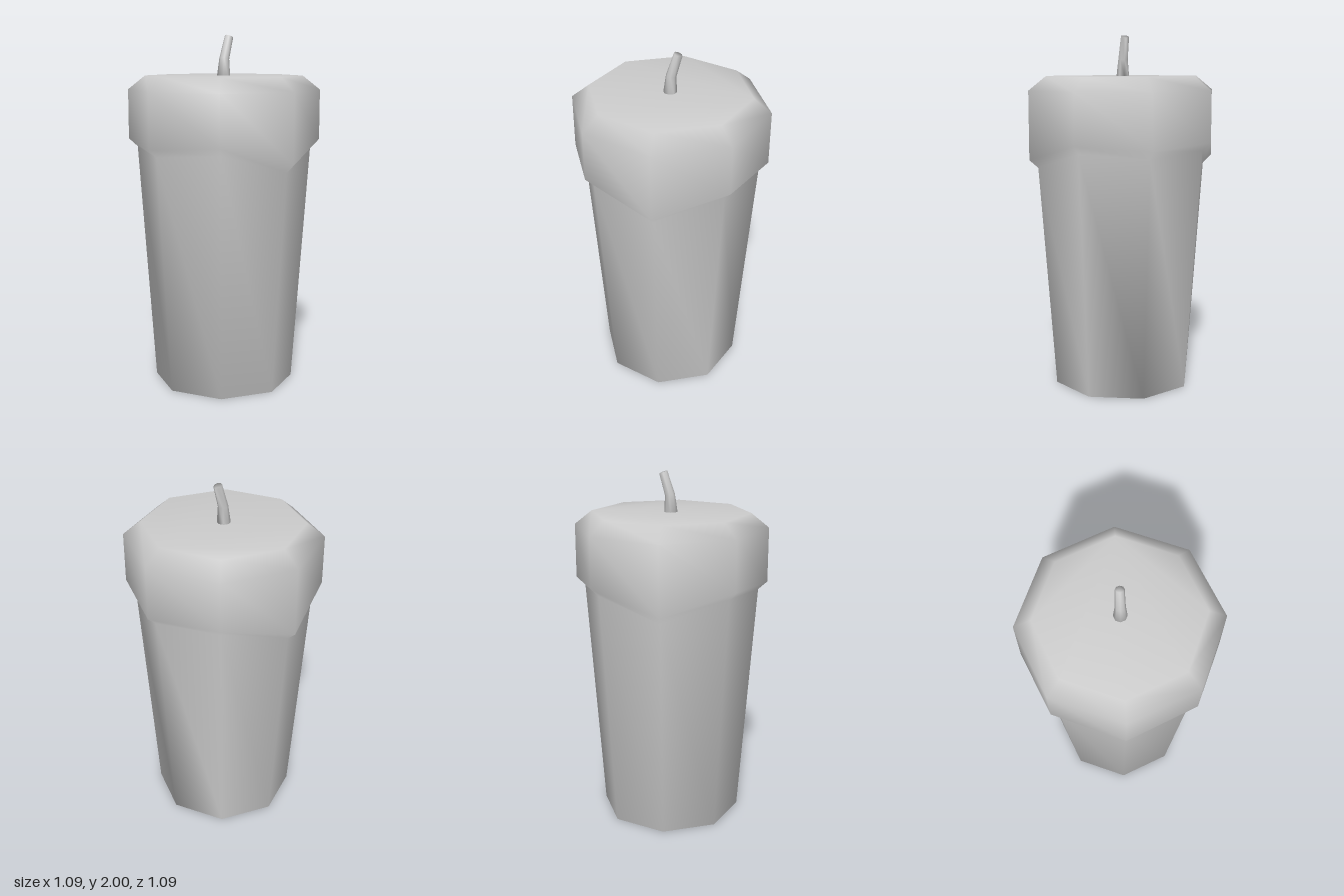
import * as THREE from 'three';

const SIDES = 8;

// Closed smooth solid from stacked rings; ring(a) gives the [x, y, z] point at angle a
function loft(rings) {
  const pos = [], index = [];
  rings.forEach((ring) => {
    for (let j = 0; j < SIDES; j++) pos.push(...ring((j / SIDES) * Math.PI * 2));
  });
  for (let i = 0; i < rings.length - 1; i++) {
    for (let j = 0; j < SIDES; j++) {
      const a = i * SIDES + j, b = i * SIDES + ((j + 1) % SIDES);
      index.push(a, a + SIDES, b + SIDES, a, b + SIDES, b);
    }
  }
  const top = (rings.length - 1) * SIDES;
  for (let j = 1; j < SIDES - 1; j++) {
    index.push(0, j, j + 1);
    index.push(top, top + j + 1, top + j);
  }
  const geo = new THREE.BufferGeometry();
  geo.setAttribute('position', new THREE.Float32BufferAttribute(pos, 3));
  geo.setIndex(index);
  geo.computeVertexNormals();
  return geo;
}

export function createModel() {
  const group = new THREE.Group();
  const grey = new THREE.MeshStandardMaterial({ color: 0xcccccc });
  grey.name = 'light grey';

  // Lower edge of the overhanging cap: lowest at front and back, highest on the diagonals
  const lipHeight = (a) => {
    const k = Math.round(a / (Math.PI / 4)) % 4;
    return k === 0 ? 1.39 : k === 2 ? 1.31 : 1.415;
  };
  const level = (r, y) => (a) => [r * Math.cos(a), typeof y === 'number' ? y : y(a), r * Math.sin(a)];

  // Tapered body flowing into the thick bevelled cap
  const body = new THREE.Mesh(loft([
    level(0.402, 0),
    level(0.495, (a) => lipHeight(a) - 0.045),
    level(0.545, lipHeight),
    level(0.545, 1.695),
    level(0.447, 1.773),
  ]), grey);
  body.name = 'bodyAndCap';
  group.add(body);

  // Bent wick: rings tilt toward +x as they rise
  const tilted = (cx, cy, r, tilt) => (a) => [
    cx + r * Math.cos(a) * Math.cos(tilt),
    cy - r * Math.cos(a) * Math.sin(tilt),
    r * Math.sin(a),
  ];
  const wick = new THREE.Mesh(loft([
    tilted(-0.001, 1.765, 0.038, 0),
    tilted(0.005, 1.868, 0.028, 0.18),
    tilted(0.042, 1.991, 0.024, 0.36),
  ]), grey);
  wick.name = 'wick';
  group.add(wick);

  return group;
}
